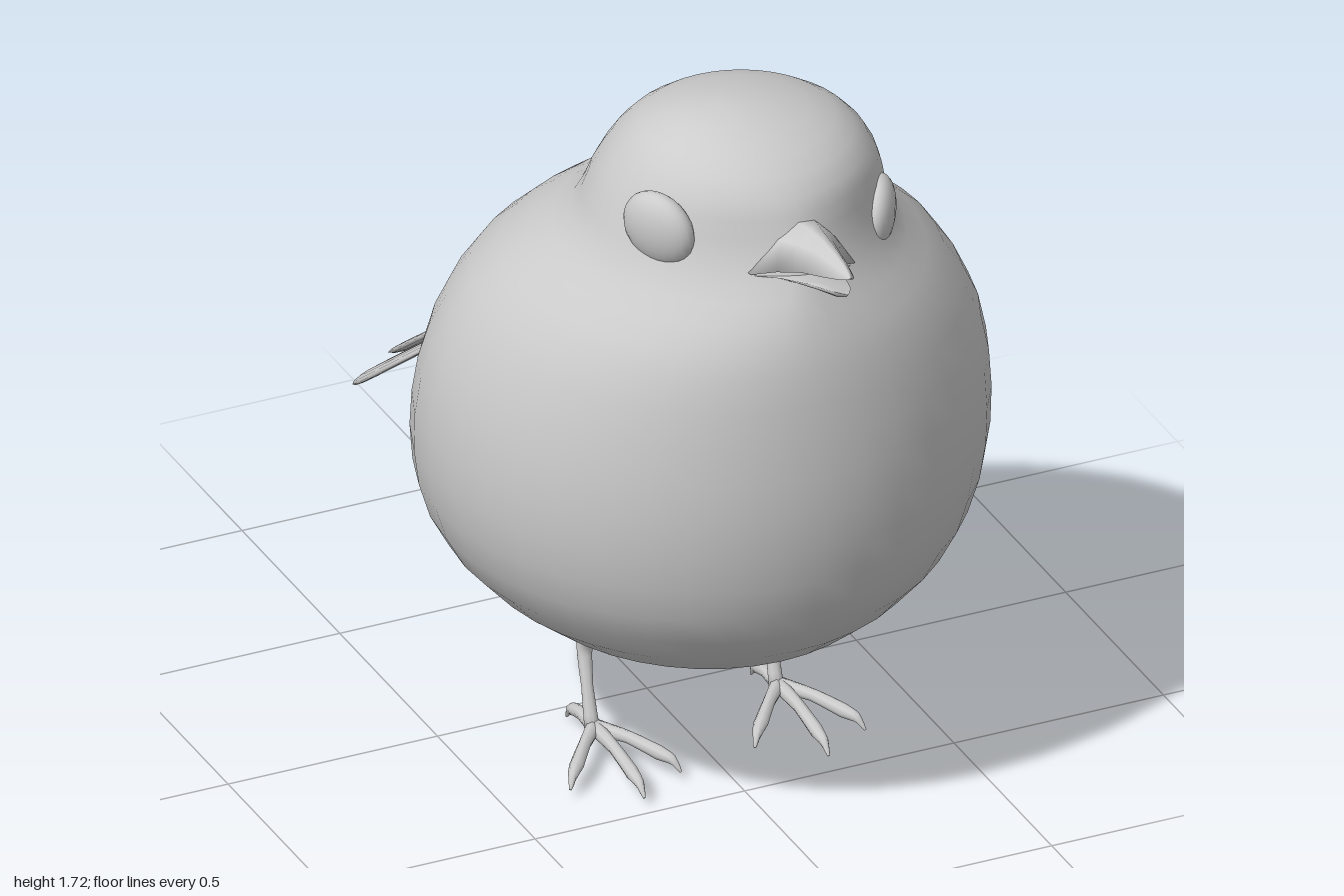
import * as THREE from 'three';

const V = (x, y, z) => new THREE.Vector3(x, y, z);
const material = new THREE.MeshStandardMaterial({ color: 0xcccccc, side: THREE.DoubleSide });

// Skin a list of equal-sized point rings, closing both ends with a centre point.
function loft(rings) {
  const n = rings[0].length, pts = rings.flat(), idx = [];
  for (let r = 0; r < rings.length - 1; r++) {
    for (let i = 0; i < n; i++) {
      const a = r * n + i, b = r * n + (i + 1) % n;
      idx.push(a, b, a + n, b, b + n, a + n);
    }
  }
  for (const r of [0, rings.length - 1]) {
    const c = rings[r].reduce((s, p) => s.add(p), V(0, 0, 0)).divideScalar(n);
    const k = pts.push(c) - 1;
    for (let i = 0; i < n; i++) {
      const a = r * n + i, b = r * n + (i + 1) % n;
      if (r === 0) idx.push(b, a, k); else idx.push(a, b, k);
    }
  }
  // Turn the faces outward when the rings were wound the other way.
  let volume = 0;
  for (let i = 0; i < idx.length; i += 3) {
    volume += pts[idx[i]].dot(pts[idx[i + 1]].clone().cross(pts[idx[i + 2]]));
  }
  if (volume < 0) idx.reverse();
  const g = new THREE.BufferGeometry().setFromPoints(pts);
  g.setIndex(idx);
  g.computeVertexNormals();
  return g;
}

function add(parent, name, geometry) {
  const m = new THREE.Mesh(geometry, material);
  m.name = name;
  parent.add(m);
  return m;
}

// Body and head levels: y, centre x, half width, widest z, front z, back z
const LEVELS = [
  [0.308, 0, 0.06, 0.22, 0.30, 0.14],
  [0.34, 0, 0.22, 0.23, 0.51, -0.02],
  [0.42, 0, 0.40, 0.25, 0.69, -0.22],
  [0.56, 0, 0.55, 0.25, 0.83, -0.39],
  [0.72, 0, 0.62, 0.25, 0.89, -0.48],
  [0.90, 0, 0.635, 0.25, 0.914, -0.44],
  [1.08, 0, 0.605, 0.26, 0.91, -0.31],
  [1.24, -0.01, 0.52, 0.30, 0.893, -0.16],
  [1.35, -0.015, 0.41, 0.37, 0.86, -0.02],
  [1.43, -0.005, 0.348, 0.44, 0.82, 0.095],
  [1.52, 0.003, 0.32, 0.45, 0.78, 0.14],
  [1.60, 0.005, 0.28, 0.46, 0.75, 0.19],
  [1.665, -0.005, 0.215, 0.475, 0.68, 0.27],
  [1.705, -0.025, 0.115, 0.49, 0.59, 0.39],
  [1.718, -0.03, 0.03, 0.49, 0.52, 0.465],
];

function bodyGeometry() {
  const spline = list => new THREE.CatmullRomCurve3(list, false, 'catmullrom', 0.5);
  const widths = spline(LEVELS.map(l => V(l[0], l[1], l[2])));
  const depths = spline(LEVELS.map(l => V(l[3], l[4], l[5])));
  const steps = (LEVELS.length - 1) * 2;
  return loft(Array.from({ length: steps + 1 }, (_, j) => {
    const { x: y, y: cx, z: w } = widths.getPoint(j / steps);
    const { x: zc, y: zf, z: zb } = depths.getPoint(j / steps);
    // The face narrows towards the beak, the rump towards the tail.
    const face = 1 + 0.4 * Math.exp(-(((y - 1.46) / 0.1) ** 2));
    const rump = 1 + 0.85 * Math.exp(-(((y - 0.88) / 0.3) ** 2));
    return Array.from({ length: 40 }, (_, i) => {
      const a = i / 40 * Math.PI * 2, s = Math.sin(a), c = Math.cos(a);
      const x = cx + w * Math.sign(s) * Math.abs(s) ** (c > 0 ? face : rump);
      return V(x, y, zc + c * (c > 0 ? zf - zc : zc - zb));
    });
  }));
}

// Flat round-ended feather from base to tip; tilt leans its upper side sideways.
function feather(base, tip, width, thick, tilt, narrow = 0.35) {
  const dir = tip.clone().sub(base);
  const side = dir.clone().cross(V(tilt, 0.78, -0.63)).normalize();
  const up = side.clone().cross(dir).normalize();
  return loft([0, 0.25, 0.5, 0.75, 0.85, 0.91, 0.96, 0.99, 1].map(u => {
    const w = u < 0.85 ? narrow + (1 - narrow) * u / 0.85
      : Math.sqrt(Math.max(0.002, 1 - ((u - 0.85) / 0.15) ** 2));
    return Array.from({ length: 12 }, (_, i) => {
      const a = i / 12 * Math.PI * 2;
      return base.clone().addScaledVector(dir, u)
        .addScaledVector(side, Math.cos(a) * w * width)
        .addScaledVector(up, Math.sin(a) * thick * Math.min(1, w * 1.5));
    });
  }));
}

// Tapered round limb through a few points
function limb(points, radii) {
  const curve = new THREE.CatmullRomCurve3(points.map(p => V(...p)), false, 'catmullrom', 0.3);
  const steps = (points.length - 1) * 3;
  return loft(Array.from({ length: steps + 1 }, (_, s) => {
    const t = s / 3, k = Math.min(Math.floor(t), radii.length - 2);
    const r = THREE.MathUtils.lerp(radii[k], radii[k + 1], t - k);
    const tangent = curve.getTangent(s / steps);
    const across = V(1, 0, 0).addScaledVector(tangent, -tangent.x).normalize();
    const up = tangent.clone().cross(across);
    return Array.from({ length: 8 }, (_, i) => {
      const a = i / 8 * Math.PI * 2;
      return curve.getPoint(s / steps).addScaledVector(across, Math.cos(a) * r)
        .addScaledVector(up, Math.sin(a) * r);
    });
  }));
}

// Half of the beak: rows of z, half width, ridge y, edge y, inner y
const mandible = rows => loft(rows.map(([z, w, ridge, edge, inner]) => {
  const mid = edge + (ridge - edge) * 0.68;
  return [V(-w, edge, z), V(-w * 0.5, mid, z), V(-w * 0.15, ridge, z), V(w * 0.15, ridge, z),
    V(w * 0.5, mid, z), V(w, edge, z), V(0, inner, z)];
}));

export function createModel() {
  const bird = new THREE.Group();
  bird.name = 'bird';
  add(bird, 'body', bodyGeometry());

  // Eyes, set on a slightly tilted head
  for (const s of [1, -1]) {
    const eye = add(bird, s > 0 ? 'leftEye' : 'rightEye', new THREE.SphereGeometry(0.09, 24, 16));
    eye.scale.z = 0.5;
    eye.position.set(s * 0.258, 1.477 - s * 0.043, 0.615);
    eye.quaternion.setFromUnitVectors(V(0, 0, 1), V(s * 0.87, -0.13, 0.47).normalize());
  }

  // Slightly open beak
  const beak = new THREE.Group();
  beak.name = 'beak';
  beak.position.set(0.015, 1.49, 0);
  beak.rotation.z = -0.12;
  add(beak, 'upperBeak', mandible([
    [0.70, 0.145, 0.05, -0.055, -0.03], [0.78, 0.125, 0.06, -0.052, -0.02],
    [0.82, 0.085, 0.062, -0.03, 0], [0.88, 0.055, 0.062, -0.005, 0.015],
    [0.94, 0.036, 0.056, 0.012, 0.025], [0.98, 0.02, 0.048, 0.024, 0.03],
    [1.0, 0.006, 0.038, 0.032, 0.033]]));
  add(beak, 'lowerBeak', mandible([
    [0.70, 0.135, -0.08, -0.058, -0.06], [0.78, 0.115, -0.074, -0.056, -0.055],
    [0.83, 0.075, -0.064, -0.042, -0.045], [0.90, 0.045, -0.047, -0.024, -0.03],
    [0.96, 0.026, -0.03, -0.012, -0.016], [0.99, 0.007, -0.015, -0.008, -0.009]]));
  bird.add(beak);

  // Fanned tail: base, tip, half width, tilt
  const tail = new THREE.Group();
  tail.name = 'tail';
  [
    [V(-0.07, 0.79, -0.42), V(-0.275, 0.40, -0.86), 0.09, -0.3],
    [V(-0.02, 0.82, -0.42), V(-0.115, 0.385, -0.97), 0.1, -0.15],
    [V(0.04, 0.835, -0.42), V(0.085, 0.375, -1.0), 0.105, 0],
    [V(0.09, 0.815, -0.42), V(0.27, 0.375, -0.95), 0.1, 0.2],
    [V(0.13, 0.78, -0.42), V(0.435, 0.385, -0.83), 0.09, 0.4],
  ].forEach(([b, t, w, tilt]) => add(tail, 'tailFeather', feather(b, t, w, 0.01, tilt)));
  // Short feathers covering the tail root
  add(tail, 'middleCovert', feather(V(0.03, 1.03, -0.24), V(0.05, 0.81, -0.52), 0.1, 0.03, 0, 0.8));
  add(tail, 'rightCovert', feather(V(-0.1, 0.95, -0.22), V(-0.09, 0.82, -0.44), 0.055, 0.03, -0.5, 0.8));
  add(tail, 'leftCovert', feather(V(0.16, 0.95, -0.22), V(0.18, 0.82, -0.44), 0.055, 0.03, 0.5, 0.8));
  bird.add(tail);

  // Legs with three front toes and one hind toe
  for (const x of [0.225, -0.215]) {
    const leg = new THREE.Group();
    leg.name = x > 0 ? 'leftLeg' : 'rightLeg';
    leg.position.x = x;
    add(leg, 'shank', limb([[0, 0.38, 0.22], [0, 0.32, 0.19], [0.005, 0.23, 0.13], [-0.002, 0.14, 0.16],
      [-0.005, 0.055, 0.19]], [0.02, 0.018, 0.019, 0.014, 0.018]));
    for (const [dx, z] of [[-0.14, 0.37], [-0.01, 0.47], [0.11, 0.40]]) {
      const at = (t, y) => [dx * t, y, 0.19 + (z - 0.19) * t];
      add(leg, 'frontToe', limb([at(0, 0.055), at(0.4, 0.06), at(0.75, 0.05), at(0.9, 0.045), at(1, 0.022)],
        [0.018, 0.014, 0.016, 0.011, 0.003]));
    }
    add(leg, 'hindToe', limb([[0, 0.055, 0.2], [0, 0.055, 0.13], [0.005, 0.04, 0.08], [0.005, 0.03, 0.06],
      [0.005, 0.003, 0.04]], [0.018, 0.014, 0.015, 0.011, 0.003]));
    bird.add(leg);
  }
  return bird;
}
